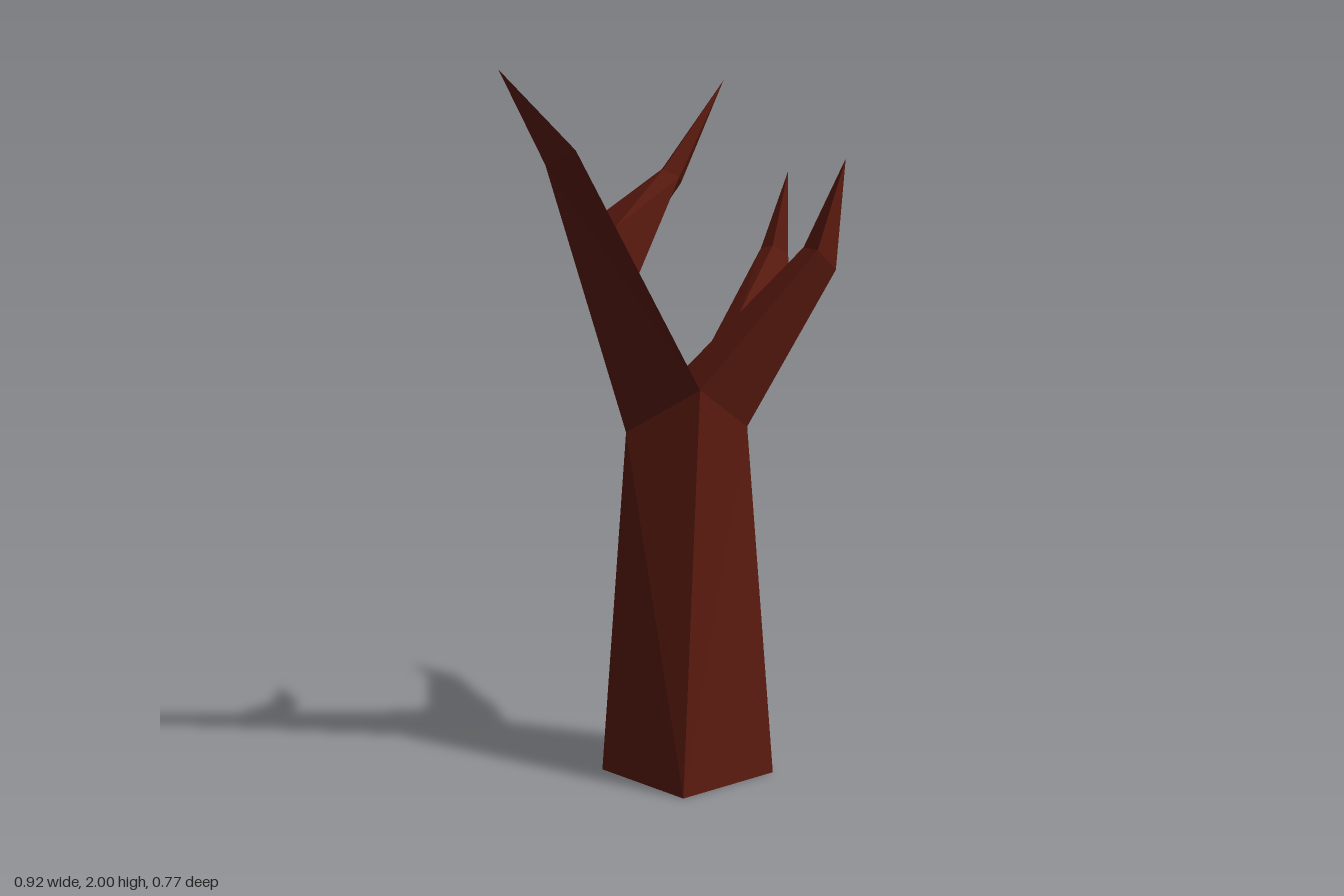
import * as THREE from 'three';

const v = (x, y, z) => new THREE.Vector3(x, y, z);
const mix = (a, b, t) => a.clone().lerp(b, t);

const bark = new THREE.MeshStandardMaterial({ color: 0x591a0f, flatShading: true, side: THREE.DoubleSide });

// Faceted skin through rings of equal count; each quad splits on its shorter diagonal.
// An optional tip closes the end in a point, an optional cap closes the start.
function limb(name, rings, { tip, cap } = {}) {
  const pts = [];
  const n = rings[0].length;
  for (let r = 0; r < rings.length - 1; r++) {
    for (let i = 0; i < n; i++) {
      const j = (i + 1) % n;
      const [a, b, c, d] = [rings[r][i], rings[r][j], rings[r + 1][j], rings[r + 1][i]];
      if (a.distanceTo(c) < b.distanceTo(d)) pts.push(a, b, c, a, c, d);
      else pts.push(a, b, d, b, c, d);
    }
  }
  const end = rings[rings.length - 1];
  if (tip) for (let i = 0; i < n; i++) pts.push(end[i], end[(i + 1) % n], tip);
  if (cap) for (let i = 1; i < n - 1; i++) pts.push(rings[0][0], rings[0][i + 1], rings[0][i]);
  const geometry = new THREE.BufferGeometry().setFromPoints(pts);
  geometry.computeVertexNormals();
  const mesh = new THREE.Mesh(geometry, bark);
  mesh.name = name;
  return mesh;
}

export function createModel() {
  const tree = new THREE.Group();
  tree.name = 'bareTree';

  // Trunk: a square foot turned 45 degrees, tapering to the crotch edge front-back
  const foot = [v(0.02, 0, 0.31), v(0.265, 0, 0.065), v(0.02, 0, -0.18), v(-0.228, 0, 0.065)];
  const front = v(0.06, 1.13, 0.2), back = v(-0.02, 1.13, -0.06);
  const right = v(0.185, 1.0, 0.01), left = v(-0.15, 1.0, 0.13);
  tree.add(limb('trunk', [foot, [front, right, back, left]], { cap: true }));

  // Tall branch: three-sided, leaning to -x
  const p1 = v(-0.26, 1.79, 0.372), p2 = v(-0.295, 1.79, 0.27), p3 = v(-0.345, 1.75, 0.335);
  tree.add(limb('tallBranch', [[front, back, left], [p1, p2, p3]], { tip: v(-0.46, 2, 0.385) }));

  // Twig growing from the inner face of the tall branch
  const tallTwigRoot = [mix(front, p1, 0.5), mix(back, p2, 0.5), mix(back, p2, 0.72), mix(front, p1, 0.69)];
  const tallTwigBend = [v(0.0, 1.71, 0.14), v(0.0, 1.69, 0.068), v(-0.05, 1.73, 0.1), v(-0.045, 1.73, 0.15)];
  tree.add(limb('tallBranchTwig', [tallTwigRoot, tallTwigBend], { tip: v(0.115, 1.97, 0.02) }));

  // Short branch: three-sided, leaning to +x
  const q1 = v(0.38, 1.5, -0.01), q2 = v(0.34, 1.5, -0.1), q3 = v(0.432, 1.44, -0.06);
  tree.add(limb('shortBranch', [[front, right, back], [q1, q3, q2]], { tip: v(0.457, 1.75, -0.115) }));

  // Twig growing from the rear face of the short branch
  const shortTwigRoot = [mix(right, q3, 0.33), mix(back, q2, 0.28), mix(back, q2, 0.5), mix(right, q3, 0.51)];
  const shortTwigBend = [v(0.29, 1.46, -0.345), v(0.215, 1.48, -0.318), v(0.25, 1.49, -0.285), v(0.295, 1.465, -0.31)];
  tree.add(limb('shortBranchTwig', [shortTwigRoot, shortTwigBend], { tip: v(0.292, 1.7, -0.387) }));

  return tree;
}
